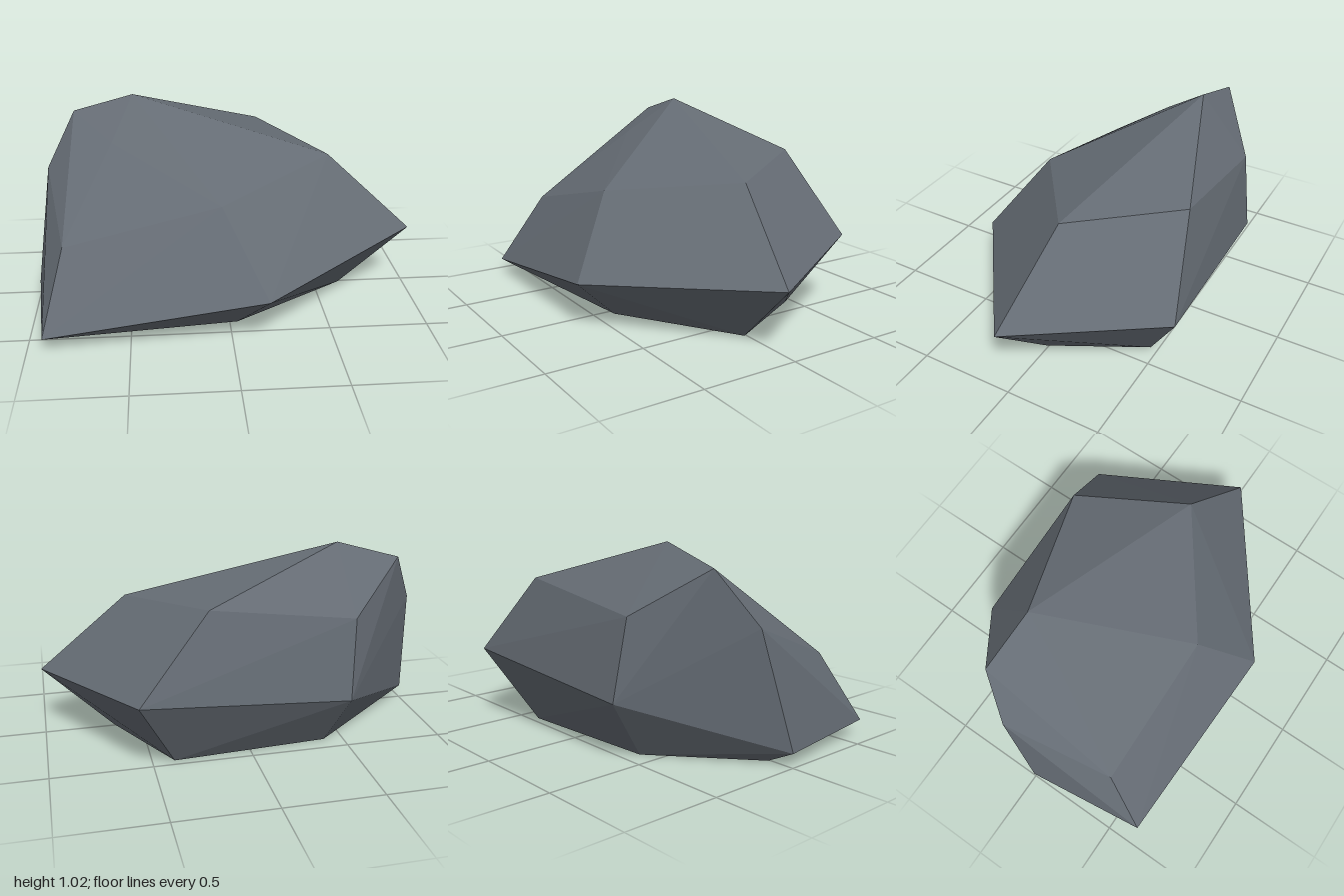
import * as THREE from 'three';
import { ConvexGeometry } from 'three/addons/geometries/ConvexGeometry.js';

export function createModel() {
  const group = new THREE.Group();
  group.name = 'rock';

  const slate = new THREE.MeshStandardMaterial({ color: 0x656c74, flatShading: true });
  slate.name = 'slate grey';

  // Corners of the boulder, in rings from the ground up
  const base = [
    [0.64, 0, 0.01], [0.04, 0, 0.4], [-0.75, 0, 0.39],
    [-0.86, 0, -0.01], [-0.4, 0, -0.41], [0.39, 0, -0.46],
  ];
  const girdle = [
    [1, 0.34, 0.05], [0.17, 0.25, 0.67], [-0.92, 0.08, 0.63],
    [-1, 0.07, 0], [-0.46, 0.305, -0.62], [0.58, 0.39, -0.67],
  ];
  const shoulder = [
    [0.56, 0.74, -0.04], [-0.04, 0.64, 0.4], [-0.82, 0.45, 0.4],
    [-0.93, 0.665, -0.16], [-0.49, 0.705, -0.56], [0.23, 0.8, -0.56],
  ];
  const crown = [[-0.47, 1.02, -0.3], [-0.79, 0.93, -0.32], [-0.58, 0.83, -0.05]];

  const corners = [...base, ...girdle, ...shoulder, ...crown]
    .map((p) => new THREE.Vector3(...p));

  // Faceted stone stretched over the corners
  const boulder = new THREE.Mesh(new ConvexGeometry(corners), slate);
  boulder.name = 'boulder';
  group.add(boulder);
  return group;
}
